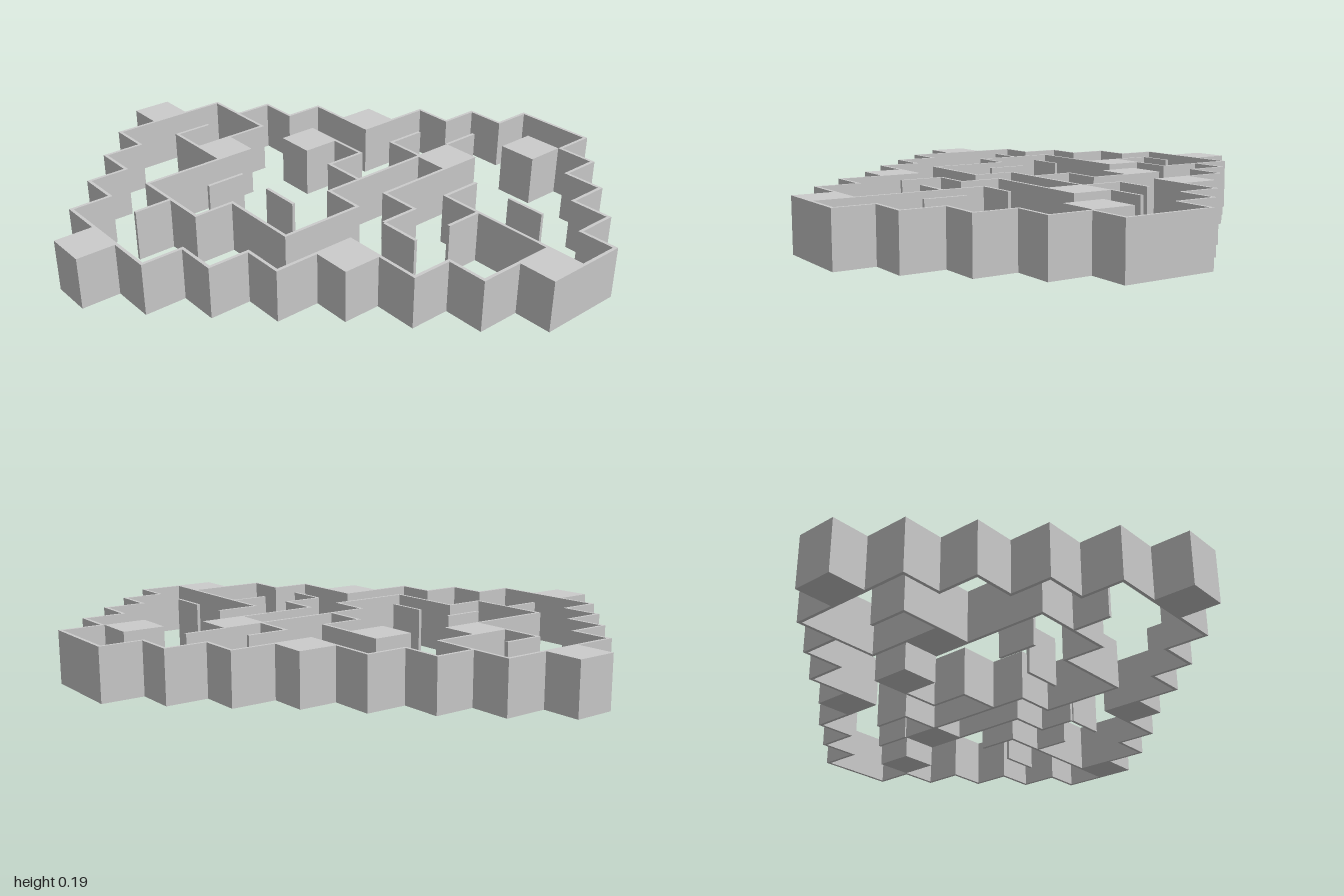
import * as THREE from 'three';

const CELL = 0.153, X0 = -0.9945, Z0 = -0.991, H = 0.19, T = 0.012;
const material = new THREE.MeshStandardMaterial({ color: 0xcccccc, flatShading: true });

// Grid line numbers to plan coordinates
const gx = (i) => X0 + CELL * i;
const gz = (j) => Z0 + CELL * j;

// Path moved sideways to its left, with square mitred corners
function offsetPath(path, d) {
  const normals = path.slice(1).map(([x, z], k) =>
    [Math.sign(z - path[k][1]), -Math.sign(x - path[k][0])]);
  return path.map(([i, j], k) => {
    const a = normals[k - 1], b = normals[k];
    let nx = 0, nz = 0;
    if (a) { nx += a[0]; nz += a[1]; }
    if (b) { nx += b[0]; nz += b[1]; }
    return new THREE.Vector2(gx(i) + nx * d, -(gz(j) + nz * d));
  });
}

// Upright wall along a path of grid corners, from offset d0 to offset d1
function wall(name, path, d0 = 0, d1 = T) {
  const outline = [...offsetPath(path, d0), ...offsetPath(path, d1).reverse()];
  const geometry = new THREE.ExtrudeGeometry(new THREE.Shape(outline), { depth: H, bevelEnabled: false });
  geometry.rotateX(-Math.PI / 2);
  const mesh = new THREE.Mesh(geometry, material);
  mesh.name = name;
  return mesh;
}

// Solid block filling one grid cell
function block(i, j) {
  const mesh = new THREE.Mesh(new THREE.BoxGeometry(CELL, H, CELL), material);
  mesh.position.set(gx(i + 0.5), H / 2, gz(j + 0.5));
  mesh.name = 'block';
  return mesh;
}

// Stepped outer walls, clockwise, broken where a block closes the gap
const outerWalls = [
  [[5, 3], [5, 2], [6, 2], [6, 1], [7, 1], [7, 0], [9, 0], [9, 1], [10, 1], [10, 2],
    [11, 2], [11, 3], [12, 3], [12, 4], [13, 4]],
  [[13, 5], [13, 4]],
  [[12, 6], [12, 7], [11, 7], [11, 8], [10, 8]],
  [[9, 9], [9, 10], [8, 10], [8, 11], [7, 11], [7, 12], [4, 12], [4, 11], [3, 11],
    [3, 10], [2, 10], [2, 9], [1, 9], [1, 8]],
  [[1, 7], [1, 6], [2, 6], [2, 5], [3, 5], [3, 4], [4, 4]],
];

// Room and corridor walls
const innerWalls = [
  [[2, 6], [3, 6], [3, 7]],
  [[2, 7], [2, 8], [4, 8]],
  [[7, 4], [7, 7], [8, 7], [8, 9], [6, 9], [6, 10], [4, 10], [4, 8]],
  [[9, 7], [9, 6], [8, 6], [8, 4], [7, 4]],
  [[7, 6], [6, 6], [6, 5], [5, 5]],
  [[12, 5], [9, 5], [9, 4]],
];

// Short partitions centred on a grid line
const partitions = [
  [[6, 3], [6, 4], [7, 4]],
  [[7, 2], [7, 3]],
  [[10, 5], [10, 6]],
  [[10, 4], [11, 4]],
  [[9, 7], [10, 7]],
  [[5, 8], [5, 9]],
  [[6, 8], [7, 8]],
  [[5, 10], [5, 11]],
];

const blocks = [[8, 1], [4, 3], [7, 3], [4, 5], [12, 5], [0, 7], [3, 7], [9, 8], [5, 12]];

export function createModel() {
  const model = new THREE.Group();
  model.name = 'maze';
  outerWalls.forEach((p) => model.add(wall('outerWall', p)));
  innerWalls.forEach((p) => model.add(wall('innerWall', p)));
  partitions.forEach((p) => model.add(wall('partition', p, -T / 2, T / 2)));
  blocks.forEach(([i, j]) => model.add(block(i, j)));
  return model;
}
